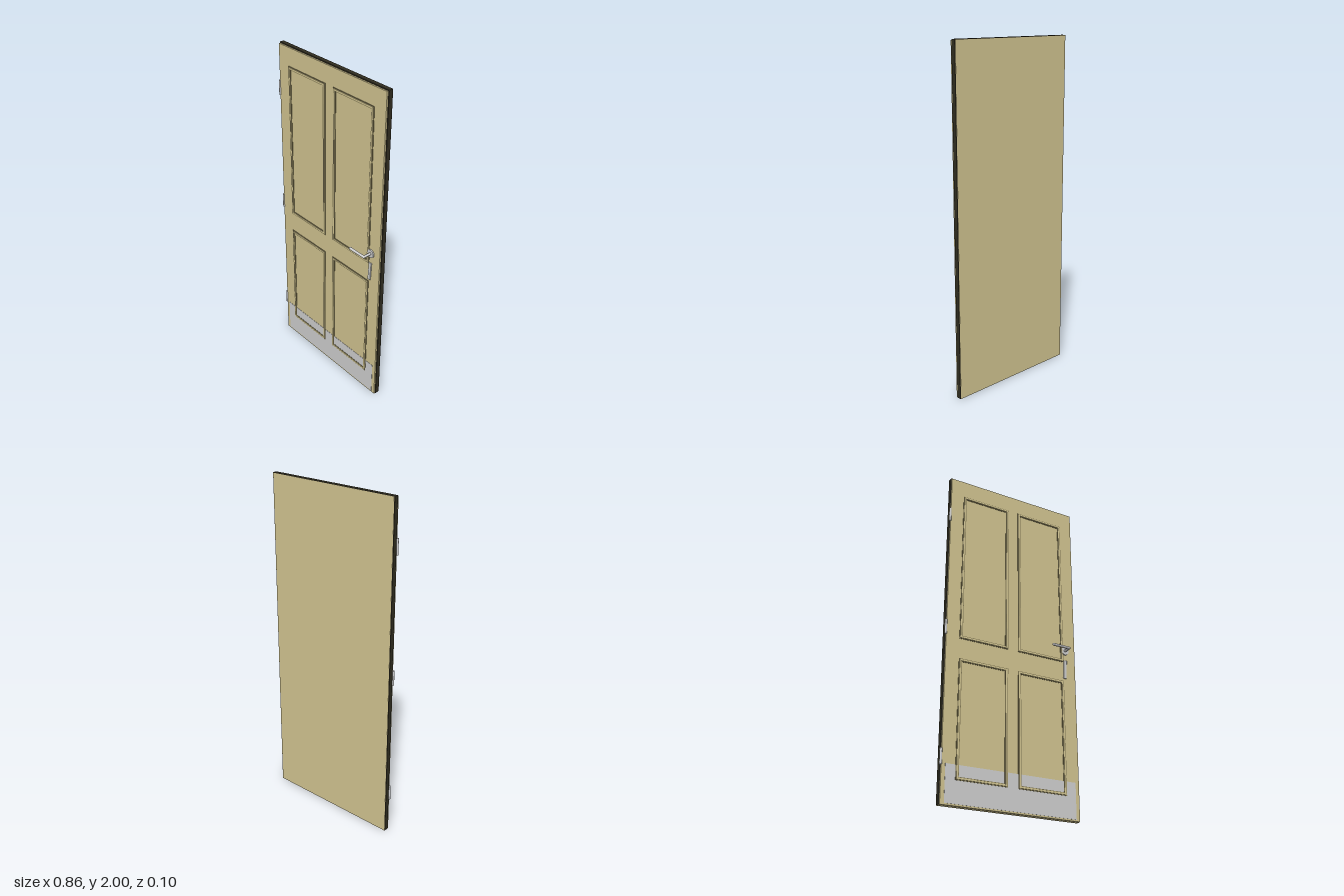
import * as THREE from 'three';
import { RoundedBoxGeometry } from 'three/addons/geometries/RoundedBoxGeometry.js';

const material = (name, color) => {
  const m = new THREE.MeshStandardMaterial({ color });
  m.name = name;
  return m;
};

export function createModel() {
  const door = new THREE.Group();
  door.name = 'panelDoor';
  const paint = material('cream paint', 0xd2c591);
  const groove = material('groove shade', 0x857b55);
  const seal = material('dark edge', 0x302d20);
  const metal = material('brushed metal', 0xd0d0d0);

  const add = (name, geometry, mat, x, y, z, parent = door) => {
    const mesh = new THREE.Mesh(geometry, mat);
    mesh.name = name;
    mesh.position.set(x, y, z);
    parent.add(mesh);
    return mesh;
  };
  const box = (name, mat, x0, x1, y0, y1, z0, z1, parent) =>
    add(name, new THREE.BoxGeometry(x1 - x0, y1 - y0, z1 - z0), mat,
      (x0 + x1) / 2, (y0 + y1) / 2, (z0 + z1) / 2, parent);

  // Door leaf: dark edge band between the painted faces
  add('edgeBand', new RoundedBoxGeometry(0.856, 1.998, 0.028, 2, 0.003), seal, 0, 1.001, -0.036);
  box('frontFace', paint, -0.423, 0.423, 0.001, 1.994, -0.024, -0.013);
  box('backFace', paint, -0.425, 0.425, 0.002, 1.997, -0.051, -0.049);
  box('bottomFace', paint, -0.425, 0.425, 0, 0.003, -0.049, -0.023);

  // Kick plate
  box('kickPlate', metal, -0.4, 0.4, 0.01, 0.217, -0.014, -0.0115);

  // Flat rectangular ring, bevelled towards the front
  const ring = (w, h, t, depth, bevel) => {
    const rect = (P, a, b) => {
      const p = new P();
      p.moveTo(-a, -b);
      p.lineTo(a, -b);
      p.lineTo(a, b);
      p.lineTo(-a, b);
      p.closePath();
      return p;
    };
    const shape = rect(THREE.Shape, w / 2 - bevel, h / 2 - bevel);
    shape.holes.push(rect(THREE.Path, w / 2 - t + bevel, h / 2 - t + bevel));
    return new THREE.ExtrudeGeometry(shape, {
      depth, bevelEnabled: bevel > 0, bevelThickness: bevel, bevelSize: bevel, bevelSegments: 2,
    });
  };

  // Four panel mouldings: a shaded base with a narrower raised bead
  for (const side of [-1, 1]) {
    for (const [y0, y1] of [[0.135, 0.82], [0.94, 1.888]]) {
      const panel = new THREE.Group();
      panel.name = 'panelMoulding';
      panel.position.set(side * 0.187, (y0 + y1) / 2, -0.013);
      door.add(panel);
      const w = 0.309, h = y1 - y0;
      add('mouldingGroove', ring(w, h, 0.019, 0.0028, 0), groove, 0, 0, 0, panel);
      add('mouldingBead', ring(w - 0.008, h - 0.008, 0.011, 0.002, 0.002), paint, 0, 0, 0.002, panel);
    }
  }

  // Three hinge knuckles on the right edge
  for (const y of [0.252, 0.995, 1.735]) {
    const hinge = new THREE.Group();
    hinge.name = 'hinge';
    door.add(hinge);
    add('hingeBarrel', new THREE.CylinderGeometry(0.007, 0.007, 0.088, 16), metal, -0.426, y, -0.015, hinge);
  }

  // Lever handle: rosette, spindle and grip
  const handle = new THREE.Group();
  handle.name = 'leverHandle';
  door.add(handle);
  const hx = 0.353, hy = 1.014, gz = 0.041;
  add('rosette', new THREE.CylinderGeometry(0.025, 0.026, 0.007, 32), metal, hx, hy, -0.0105, handle)
    .rotation.x = Math.PI / 2;
  add('spindle', new THREE.CylinderGeometry(0.0075, 0.0075, 0.056, 20), metal, hx, hy, 0.014, handle)
    .rotation.x = Math.PI / 2;
  add('grip', new THREE.CapsuleGeometry(0.008, 0.108, 6, 20), metal, 0.298, hy, gz, handle)
    .rotation.z = Math.PI / 2;

  // Keyhole cover below the handle, slightly tilted
  const cover = add('keyholeCover', new RoundedBoxGeometry(0.021, 0.118, 0.008, 3, 0.0035),
    metal, 0.351, 0.893, -0.01);
  cover.rotation.z = -0.05;

  return door;
}
